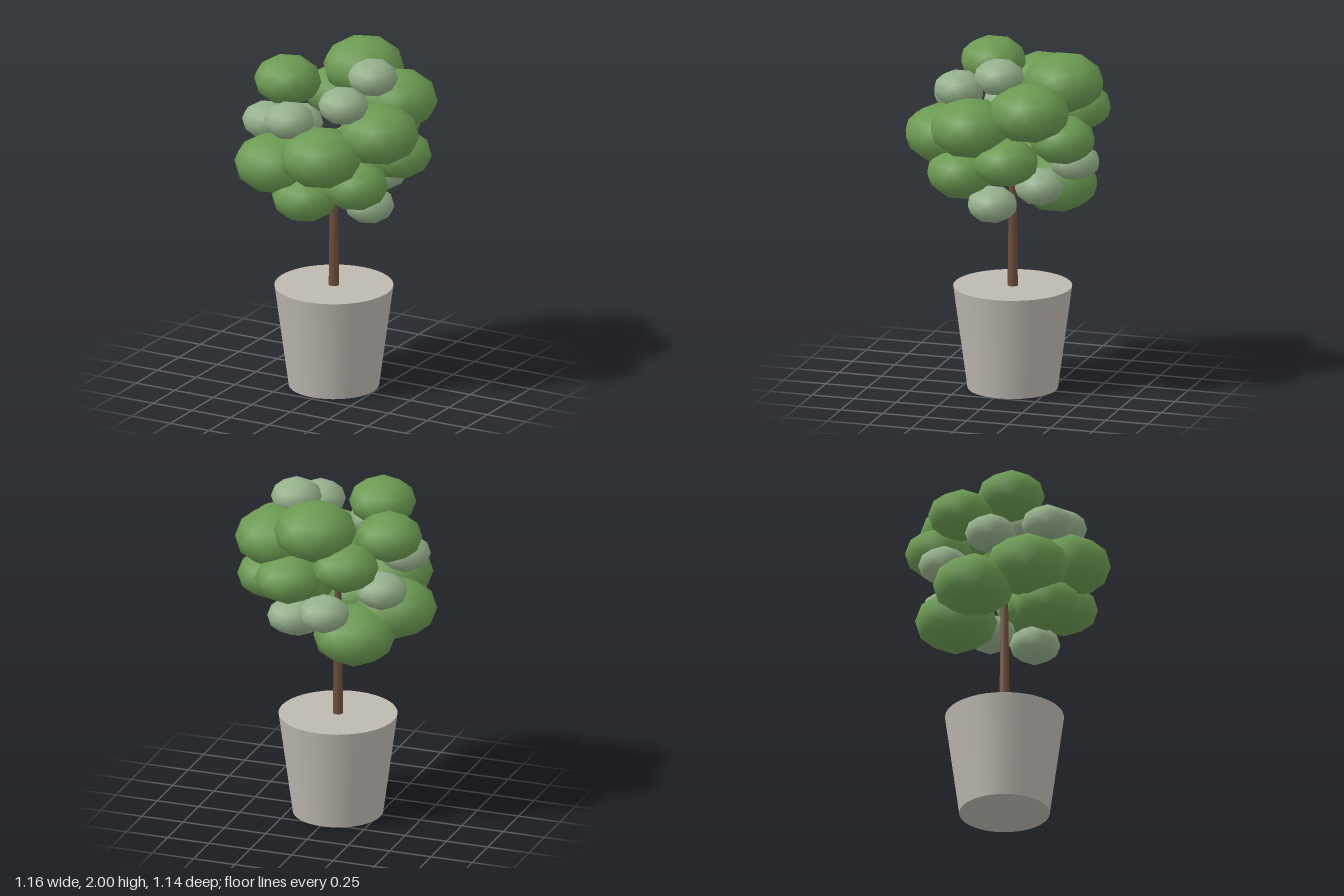
import * as THREE from 'three';

const material = (name, color) => {
  const m = new THREE.MeshStandardMaterial({ color });
  m.name = name;
  return m;
};

// Low-poly ball with a vertex pointing straight up, flattened in height
function makeClumpGeometry() {
  const g = new THREE.IcosahedronGeometry(1, 1);
  g.rotateZ(-Math.atan(2 / (1 + Math.sqrt(5))));
  g.scale(1, 0.73, 1);
  return g;
}

// Clump centres [x, y, z]
const LARGE = [
  [0.01, 1.825, -0.34], [0.29, 1.71, -0.225], [0.355, 1.61, 0.105], [0.107, 1.497, 0.335],
  [-0.228, 1.39, 0.27], [-0.355, 1.286, -0.01], [-0.19, 1.18, -0.24],
];
const MEDIUM = [
  [-0.215, 1.857, 0.15], [-0.345, 1.75, -0.10], [-0.18, 1.64, -0.366], [0.156, 1.53, -0.38],
  [0.365, 1.43, -0.108], [0.255, 1.315, 0.2], [-0.03, 1.22, 0.275],
];
const PALE = [
  [0.24, 1.89, -0.03], [0.19, 1.79, 0.225], [-0.105, 1.68, 0.322], [-0.367, 1.575, 0.11],
  [-0.348, 1.465, -0.22], [-0.06, 1.345, -0.385], [0.18, 1.25, -0.25], [0.24, 1.138, 0.01],
];

export function createModel() {
  const tree = new THREE.Group();
  tree.name = 'pottedTree';
  const leaf = material('leaf green', 0x6b9a51);
  const pale = material('pale leaf green', 0x95b08b);
  const bark = material('bark brown', 0x6e4f3c);
  const stone = material('stone grey', 0xbdb8b0);

  // Pot and trunk share an axis slightly off centre
  const stand = (name, top, bottom, y0, y1, sides, mat) => {
    const mesh = new THREE.Mesh(new THREE.CylinderGeometry(top, bottom, y1 - y0, sides), mat);
    mesh.name = name;
    mesh.position.set(-0.012, (y0 + y1) / 2, -0.03);
    tree.add(mesh);
  };
  stand('pot', 0.338, 0.257, 0, 0.6, 40, stone);
  stand('trunk', 0.02, 0.031, 0.59, 1.4, 8, bark);

  // Crown of leaf clumps
  const crown = new THREE.Group();
  crown.name = 'crown';
  tree.add(crown);
  const clump = makeClumpGeometry();
  const addClumps = (name, centres, radius, mat) => centres.forEach((c, i) => {
    const mesh = new THREE.Mesh(clump, mat);
    mesh.name = `${name}${i + 1}`;
    mesh.position.set(...c);
    mesh.scale.setScalar(radius);
    crown.add(mesh);
  });
  addClumps('largeClump', LARGE, 0.234, leaf);
  addClumps('mediumClump', MEDIUM, 0.191, leaf);
  addClumps('paleClump', PALE, 0.145, pale);

  return tree;
}
